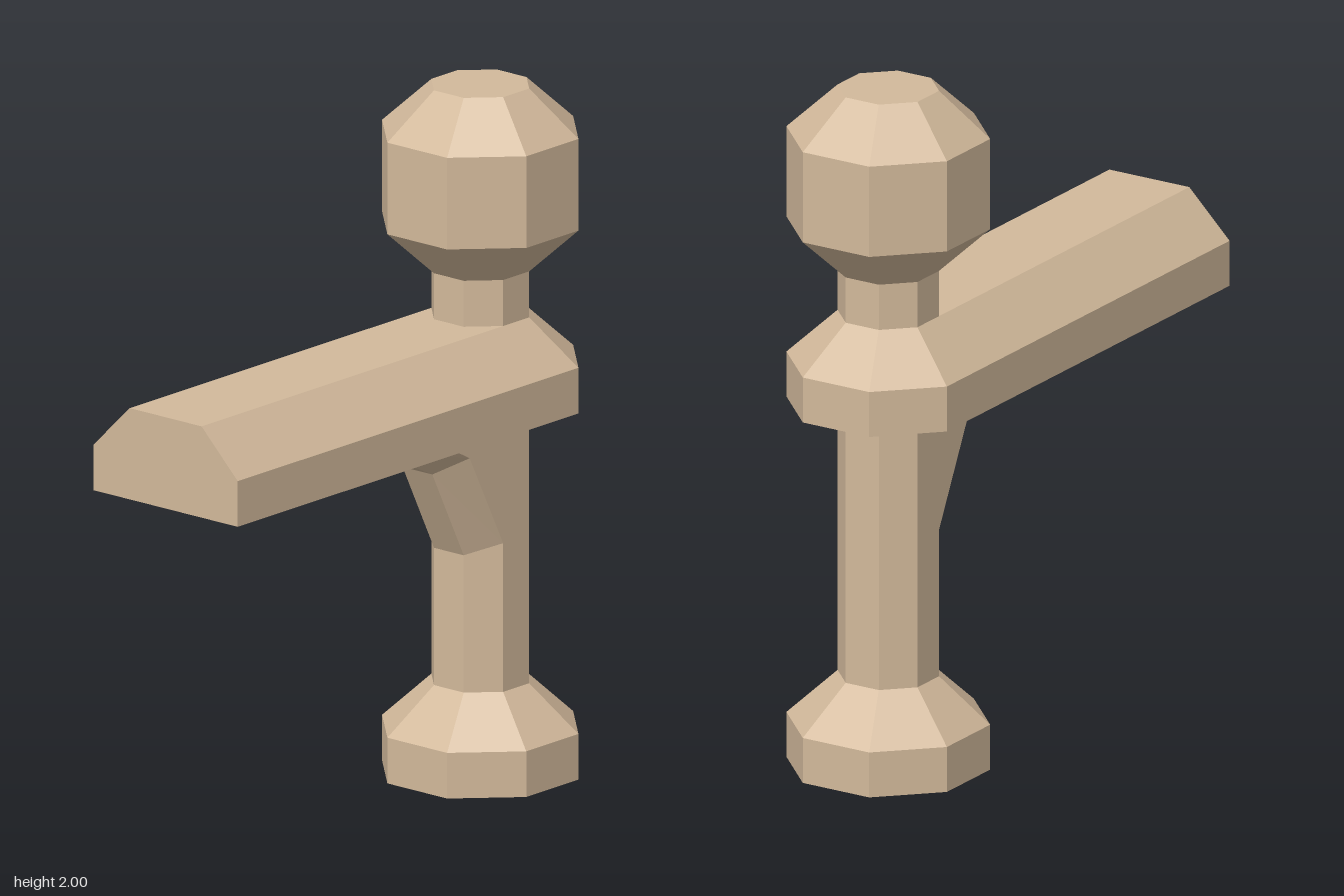
import * as THREE from 'three';

const POST_X = 0.533;
const OUT = 0.267, IN = 0.133; // octagon half-widths, wide and narrow
const IN_SIDE = 0.055;         // half of one narrow octagon side

// Eight-sided turned piece; profile is [half-width across flats, height]
function turned(profile) {
  const points = profile.map(([r, y]) => new THREE.Vector2(r / Math.cos(Math.PI / 8), y));
  return new THREE.LatheGeometry(points, 8, Math.PI / 8).translate(POST_X, 0, 0);
}

// Chamfered bar running along x, ending inside the collar
function railGeometry() {
  const shape = new THREE.Shape([
    [-OUT, 1.067], [OUT, 1.067], [OUT, 1.2], [IN, 1.333], [-IN, 1.333], [-OUT, 1.2],
  ].map(([z, y]) => new THREE.Vector2(z, y)));
  return new THREE.ExtrudeGeometry(shape, { depth: POST_X + 0.8, bevelEnabled: false })
    .rotateY(-Math.PI / 2)
    .translate(POST_X, 0, 0);
}

// Bent brace: a narrow outer strip, chamfers, and flat cheeks flush with the post
function braceGeometry() {
  const outer = [[0, 1.067], [0.267, 0.933], [0.4, 0.667]];
  const inner = [[0.18, 1.067], [0.336, 0.98], [0.478, 0.7]];
  const corner = [0.478, 1.067];
  const pos = [];
  const at = ([x, y], z) => [x, y, z];
  const tri = (a, b, c) => pos.push(...a, ...b, ...c);
  const quad = (a, b, c, d) => { tri(a, b, c); tri(a, c, d); };
  for (let i = 0; i < 2; i++) {
    const j = i + 1;
    quad(at(outer[i], IN_SIDE), at(outer[i], -IN_SIDE), at(outer[j], -IN_SIDE), at(outer[j], IN_SIDE));
    for (const s of [1, -1]) {
      const chamfer = [at(outer[i], s * IN_SIDE), at(outer[j], s * IN_SIDE), at(inner[j], s * IN), at(inner[i], s * IN)];
      const cheek = [at(corner, s * IN), at(inner[i], s * IN), at(inner[j], s * IN)];
      if (s < 0) { chamfer.reverse(); cheek.reverse(); }
      quad(...chamfer);
      tri(...cheek);
    }
  }
  const geo = new THREE.BufferGeometry();
  geo.setAttribute('position', new THREE.Float32BufferAttribute(pos, 3));
  geo.computeVertexNormals();
  return geo;
}

export function createModel() {
  const group = new THREE.Group();
  const wood = new THREE.MeshStandardMaterial({ color: 0xd2b99b, flatShading: true });
  wood.name = 'pale wood';

  const add = (name, geometry) => {
    const mesh = new THREE.Mesh(geometry, wood);
    mesh.name = name;
    group.add(mesh);
  };

  add('base', turned([[0, 0], [OUT, 0], [OUT, 0.133], [IN, 0.267]]));
  add('post', turned([[IN, 0.267], [IN, 1.467]]));
  add('collar', turned([[IN, 1.067], [OUT, 1.067], [OUT, 1.2], [IN, 1.333]]));
  add('finial', turned([[IN, 1.467], [OUT, 1.6], [OUT, 1.867], [IN, 2], [0, 2]]));
  add('rail', railGeometry());
  add('brace', braceGeometry());
  return group;
}
